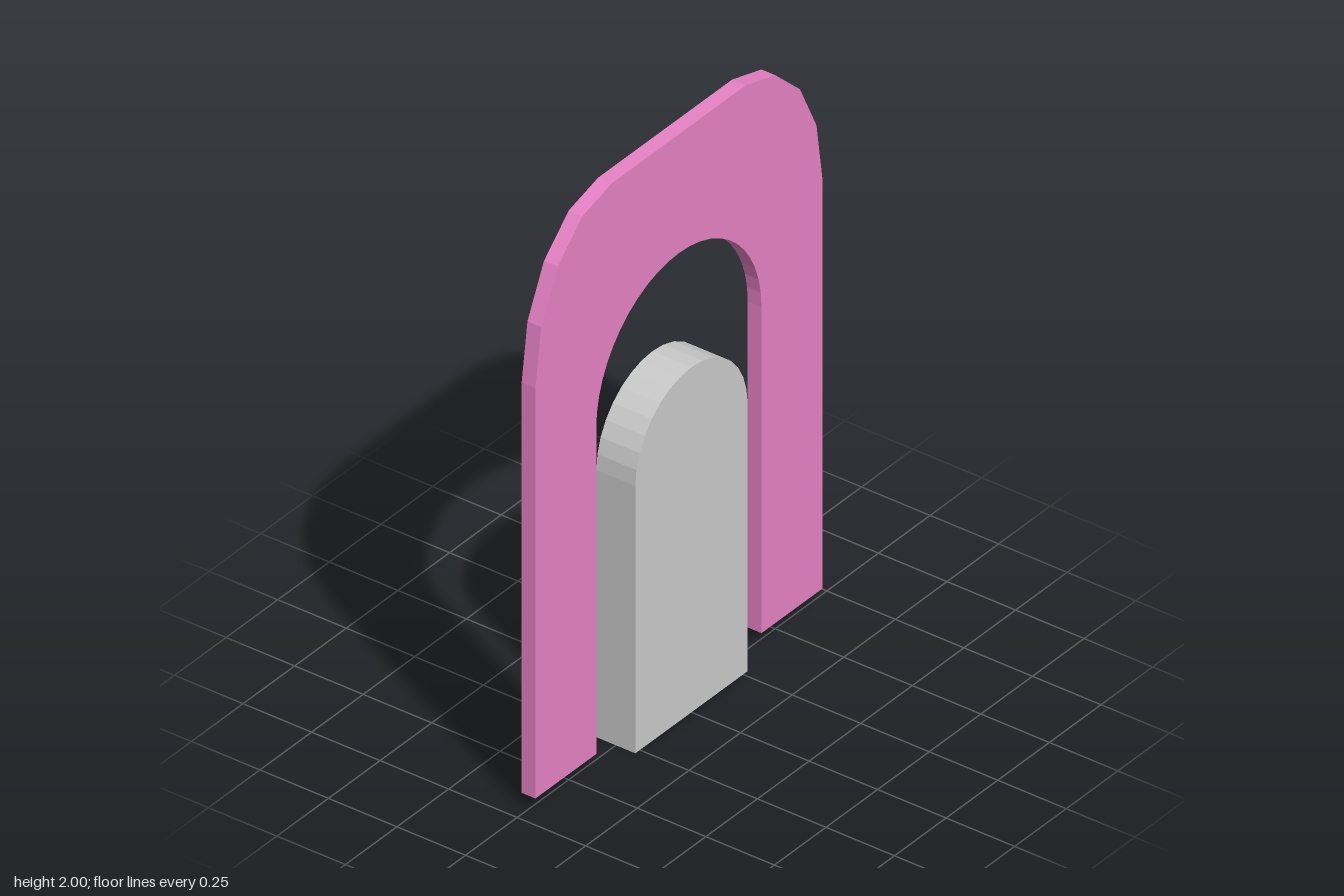
import * as THREE from 'three';

// Points along an elliptical arc, angles in units of PI
function arc(cx, cy, rx, ry, from, to, segments) {
  return Array.from({ length: segments + 1 }, (_, i) => {
    const a = Math.PI * (from + (to - from) * i / segments);
    return new THREE.Vector2(cx + rx * Math.cos(a), cy + ry * Math.sin(a));
  });
}

// Flat plate of the given outline, centred on z = 0
function plate(name, points, depth, color) {
  const geometry = new THREE.ExtrudeGeometry(new THREE.Shape(points), { depth, bevelEnabled: false });
  geometry.translate(0, 0, -depth / 2);
  const mesh = new THREE.Mesh(geometry, new THREE.MeshStandardMaterial({ color, flatShading: true }));
  mesh.name = name;
  return mesh;
}

export function createModel() {
  const group = new THREE.Group();
  group.name = 'archAndSlab';
  const P = (x, y) => new THREE.Vector2(x, y);

  // Thin arch: faceted shoulders outside, round opening inside
  const base = 0.047;
  group.add(plate('arch', [
    P(0.695, base),
    ...arc(0.325, 1.48, 0.37, 0.52, 0, 0.5, 4),
    ...arc(-0.325, 1.48, 0.37, 0.52, 0.5, 1, 4),
    P(-0.695, base),
    P(-0.4, base),
    ...arc(0, 1.185, 0.4, 0.4, 1, 0, 24),
    P(0.4, base),
  ], 0.05, 0xe882c6));

  // Thicker round-topped slab standing inside the opening
  group.add(plate('slab', [
    P(-0.272, 0),
    P(0.272, 0),
    ...arc(0, 0.933, 0.272, 0.272, 0, 1, 16),
  ], 0.142, 0xcccccc));

  return group;
}
